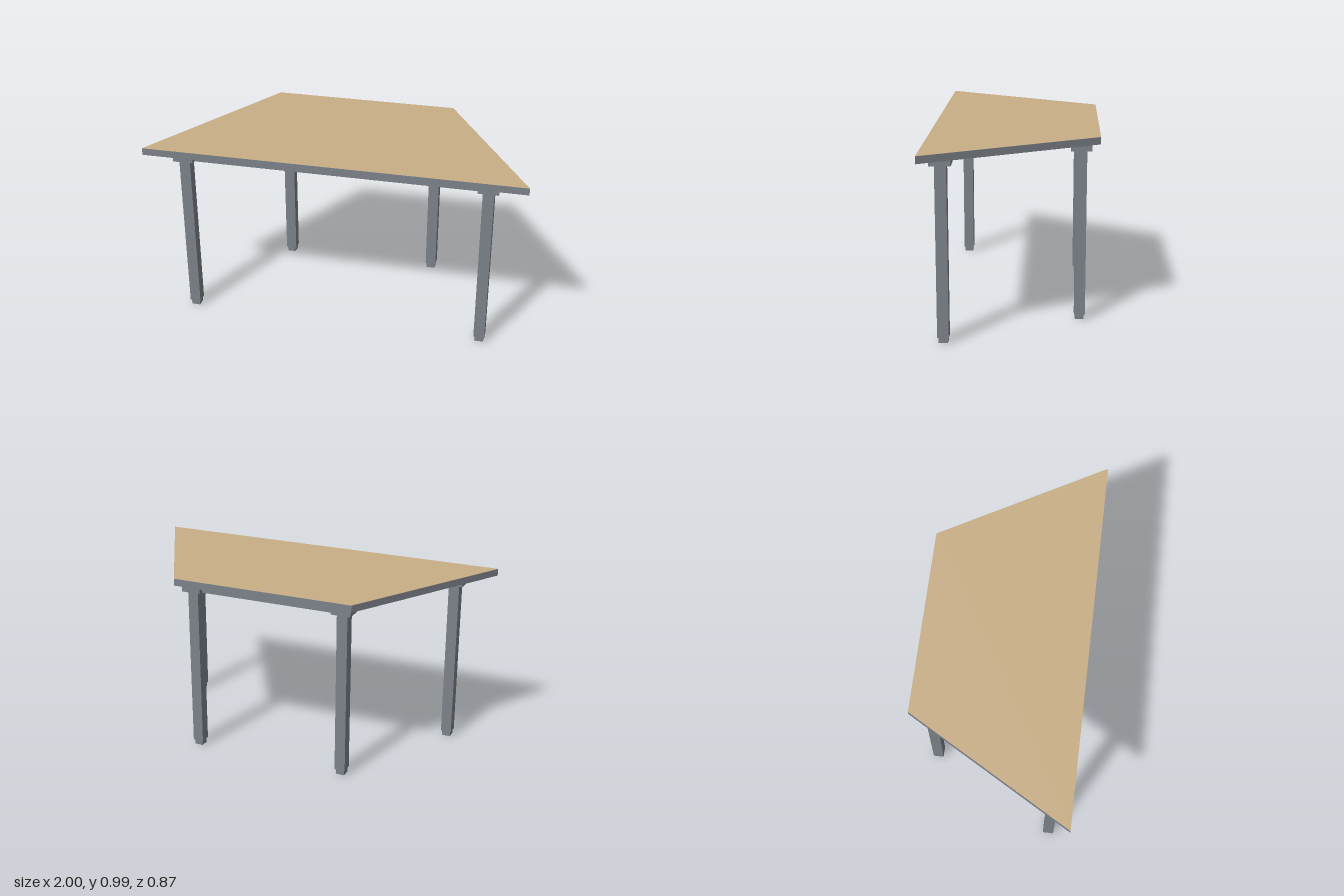
import * as THREE from 'three';

export function createModel() {
  const table = new THREE.Group();
  table.name = 'trapezoidTable';

  const metal = new THREE.MeshStandardMaterial({ color: 0x7c828a });
  metal.name = 'grey metal';
  const wood = new THREE.MeshStandardMaterial({ color: 0xc8ae86 });
  wood.name = 'tan wood';

  const add = (parent, name, geometry, material, x = 0, y = 0, z = 0) => {
    const mesh = new THREE.Mesh(geometry, material);
    mesh.name = name;
    mesh.position.set(x, y, z);
    parent.add(mesh);
    return mesh;
  };
  // Box placed by its bottom and top heights
  const block = (parent, name, w, d, y0, y1, x, z) =>
    add(parent, name, new THREE.BoxGeometry(w, y1 - y0, d), metal, x, (y0 + y1) / 2, z);

  const plateBottom = 0.905, slabBottom = 0.947, slabTop = 0.984;

  // Trapezoid slab, wide edge at the front, with a thin wooden face on top
  const outline = new THREE.Shape([
    new THREE.Vector2(-1, -0.435),
    new THREE.Vector2(1, -0.435),
    new THREE.Vector2(0.5, 0.435),
    new THREE.Vector2(-0.5, 0.435),
  ]);
  const slab = new THREE.ExtrudeGeometry(outline, { depth: slabTop - slabBottom, bevelEnabled: false });
  add(table, 'tabletopSlab', slab.rotateX(-Math.PI / 2), metal, 0, slabBottom, 0);
  add(table, 'tabletopSurface', new THREE.ShapeGeometry(outline).rotateX(-Math.PI / 2), wood, 0, slabTop + 0.001, 0);

  // Each row: a rail joining two mirrored legs
  const rows = [
    { name: 'front', x: 0.797, z: 0.34 },
    { name: 'back', x: 0.426, z: -0.34 },
  ];
  for (const { name, x, z } of rows) {
    block(table, name + 'Rail', 2 * x - 0.106, 0.055, plateBottom, slabBottom, 0, z);
    for (const side of [1, -1]) {
      const leg = new THREE.Group();
      leg.name = name + (side > 0 ? 'Left' : 'Right') + 'Leg';
      leg.position.set(side * x, 0, z);
      table.add(leg);
      block(leg, 'mountingPlate', 0.106, 0.106, plateBottom, slabBottom, 0, 0);
      block(leg, 'post', 0.058, 0.058, 0.028, plateBottom, 0, 0);
      block(leg, 'foot', 0.047, 0.047, 0, 0.028, 0, 0);
    }
  }
  return table;
}
